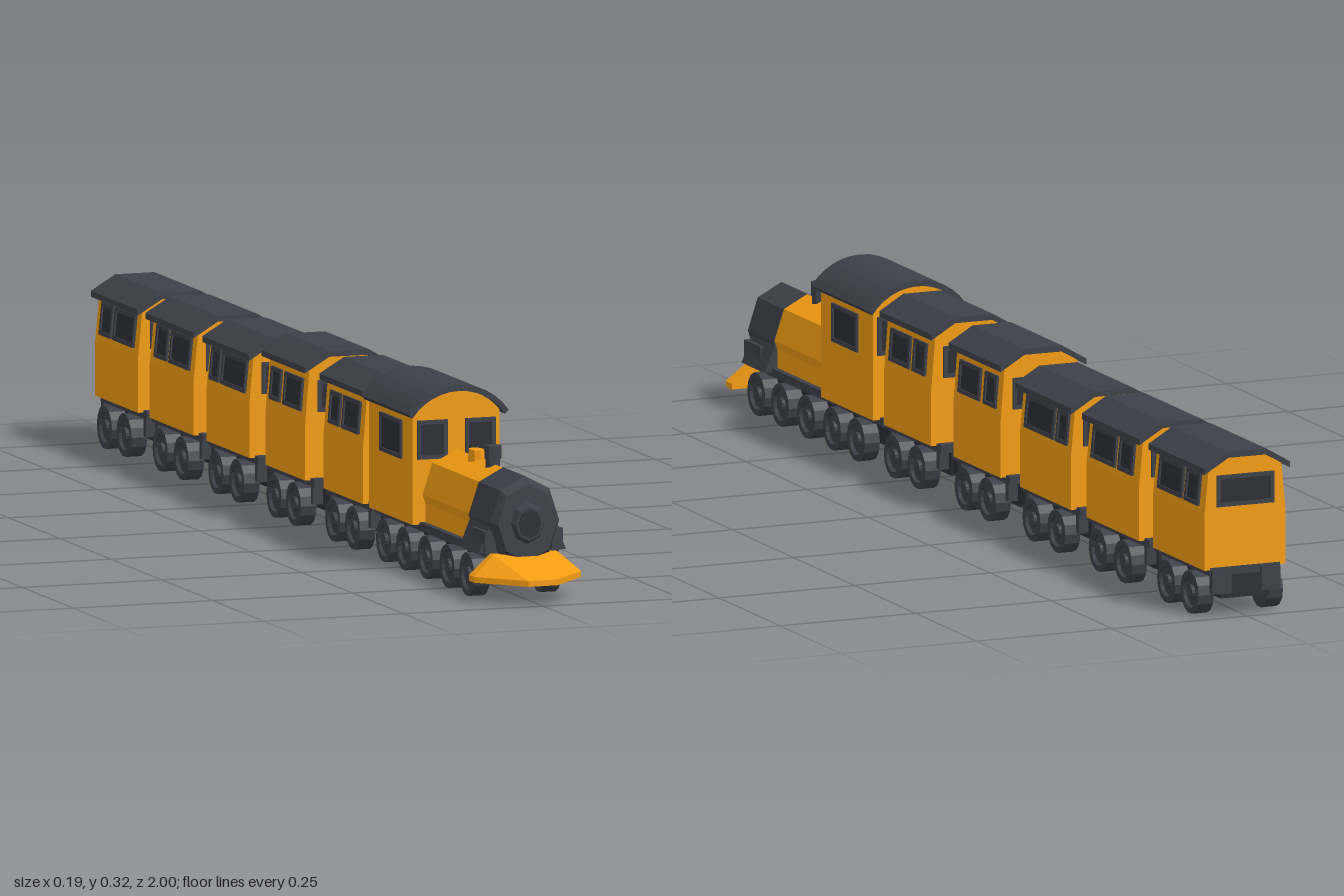
import * as THREE from 'three';
import { ConvexGeometry } from 'three/addons/geometries/ConvexGeometry.js';

const paint = (color) => new THREE.MeshStandardMaterial({ color, flatShading: true });
const ORANGE = paint(0xf39c12), DARK = paint(0x3d4049), BLACK = paint(0x2c2e35);

function add(parent, name, geometry, material, x = 0, y = 0, z = 0) {
  const mesh = new THREE.Mesh(geometry, material);
  mesh.name = name;
  mesh.position.set(x, y, z);
  parent.add(mesh);
  return mesh;
}

const box = (w, h, d) => new THREE.BoxGeometry(w, h, d);
const polygon = (pts) => new THREE.Shape(pts.map(([x, y]) => new THREE.Vector2(x, y)));

// Extrudes an x/y outline from z0 to z1
function prism(pts, z0, z1) {
  const g = new THREE.ExtrudeGeometry(polygon(pts), { depth: z1 - z0, bevelEnabled: false });
  return g.translate(0, 0, z0);
}

// Cylinder lying along z, first corner pointing up
function drum(rx, ry, depth, sides, frontScale = 1) {
  const g = new THREE.CylinderGeometry(frontScale, 1, depth, sides);
  return g.rotateX(Math.PI / 2).rotateZ(Math.PI).scale(rx, ry, 1);
}

// Framed window facing +z, turned to yaw and leaned back by tilt
function addWindow(parent, w, h, x, y, z, yaw = 0, tilt = 0) {
  const g = new THREE.Group();
  g.name = 'window';
  const b = 0.007, X = w / 2, Y = h / 2;
  const rect = (p, q) => [[-p, -q], [p, -q], [p, q], [-p, q]];
  const shape = polygon(rect(X, Y));
  shape.holes.push(polygon(rect(X - b, Y - b)));
  const frame = new THREE.ExtrudeGeometry(shape, { depth: 0.006, bevelEnabled: false });
  add(g, 'windowFrame', frame, DARK, 0, 0, -0.002);
  add(g, 'windowPane', box(w - b, h - b, 0.003), BLACK);
  g.position.set(x, y, z);
  g.rotation.set(tilt, yaw, 0, 'YXZ');
  parent.add(g);
}

// Pair of wheels with rims and an axle
function addWheelset(parent, z) {
  const g = new THREE.Group();
  g.name = 'wheelset';
  for (const s of [-1, 1]) {
    const profile = [[0, 0], [0.037, 0], [0.037, 0.028], [0.027, 0.028], [0.024, 0.023],
      [0.013, 0.023], [0.011, 0.028], [0, 0.028]].map(([r, h]) => new THREE.Vector2(r, h));
    const wheel = add(g, 'wheel', new THREE.LatheGeometry(profile, 14), DARK, s * 0.05, 0, 0);
    wheel.rotation.z = -s * Math.PI / 2;
  }
  add(g, 'axle', new THREE.CylinderGeometry(0.008, 0.008, 0.11, 8).rotateZ(Math.PI / 2), BLACK);
  g.position.set(0, 0.037, z);
  parent.add(g);
}

// Underframe with a narrow part between the wheels and a wider deck on top
function addChassis(parent, z0, z1, wheels) {
  const mid = (z0 + z1) / 2, len = z1 - z0;
  add(parent, 'underframe', box(0.09, 0.04, len), BLACK, 0, 0.053, mid);
  add(parent, 'deck', box(0.13, 0.014, len), DARK, 0, 0.08, mid);
  wheels.forEach((z) => addWheelset(parent, z));
}

// Passenger carriage between zBack and zFront
function makeCarriage(name, zBack, zFront, eave, wheels, windows, windowY) {
  const car = new THREE.Group();
  car.name = name;
  const belt = 0.175, wide = 0.075, narrow = 0.067, ridge = eave + 0.018;
  const tilt = -Math.atan((wide - narrow) / (eave - belt));

  addChassis(car, Math.max(zBack - 0.018, -0.99), zFront + 0.018, wheels);
  for (const s of [-1, 1]) {
    for (const z of [zBack, zFront]) {
      add(car, 'bufferBeam', box(0.035, 0.04, 0.012), DARK, s * 0.045, 0.062, z);
    }
  }
  // Body leans inwards above the belt line
  add(car, 'body', prism([[-wide, 0.083], [wide, 0.083], [wide, belt], [narrow, eave],
    [0.033, ridge], [-0.033, ridge], [-narrow, eave], [-wide, belt]], zBack, zFront), ORANGE);

  // Roof slab bent over three planes
  const roof = [[-0.079, eave - 0.008], [-0.035, ridge], [0.035, ridge], [0.079, eave - 0.008],
    [0.079, eave + 0.002], [0.035, ridge + 0.01], [-0.035, ridge + 0.01], [-0.079, eave + 0.002]];
  add(car, 'roof', prism(roof, zBack - 0.01, zFront + 0.01), DARK);

  const sideX = wide - (wide - narrow) * (windowY - belt) / (eave - belt);
  for (const s of [-1, 1]) {
    for (const [a, b] of windows) {
      addWindow(car, a - b, 0.056, s * sideX, windowY, (a + b) / 2, s * Math.PI / 2, tilt);
    }
  }
  addWindow(car, 0.106, 0.054, 0, windowY, zFront);
  addWindow(car, 0.106, 0.054, 0, windowY, zBack, Math.PI);
  return car;
}

function makeLocomotive() {
  const loco = new THREE.Group();
  loco.name = 'locomotive';
  addChassis(loco, 0.35, 0.9, [0.84, 0.743, 0.636, 0.53, 0.432]);

  // Boiler, smokebox and front door
  add(loco, 'boiler', drum(0.06, 0.075, 0.24, 8), ORANGE, 0, 0.134, 0.69);
  add(loco, 'boilerSkirt', box(0.11, 0.05, 0.235), ORANGE, 0, 0.108, 0.6925);
  add(loco, 'smokebox', drum(0.062, 0.078, 0.105, 8), DARK, 0, 0.132, 0.8575);
  add(loco, 'smokeboxRim', drum(0.062, 0.078, 0.015, 8, 0.85), DARK, 0, 0.132, 0.9175);
  add(loco, 'smokeboxDoor', drum(0.031, 0.037, 0.012, 8, 0.8), DARK, 0, 0.132, 0.929);
  add(loco, 'doorCap', drum(0.02, 0.025, 0.006, 8), BLACK, 0, 0.132, 0.934);
  add(loco, 'saddle', prism([[-0.078, 0.08], [0.078, 0.08], [0.06, 0.125], [-0.06, 0.125]], 0.805, 0.9), DARK);
  for (const s of [-1, 1]) {
    add(loco, 'steamChest', box(0.02, 0.035, 0.065), DARK, s * 0.06, 0.1, 0.875);
  }
  // Chimney and dome
  add(loco, 'chimney', new THREE.CylinderGeometry(0.013, 0.013, 0.045, 8), DARK, 0, 0.213, 0.755);
  add(loco, 'chimneyCap', new THREE.CylinderGeometry(0.015, 0.015, 0.022, 8), DARK, 0, 0.229, 0.755);
  add(loco, 'dome', new THREE.CylinderGeometry(0.012, 0.015, 0.025, 8).scale(1, 1, 1.6), ORANGE, 0, 0.21, 0.675);

  // Cowcatcher, a wedge with a low lip
  const corners = [];
  for (const s of [-1, 1]) {
    for (const y of [0.035, 0.045]) {
      corners.push([s * 0.096, y, 0.9], [s * 0.096, y, 0.925], [s * 0.026, y, 1]);
    }
    corners.push([s * 0.058, 0.079, 0.9], [s * 0.058, 0.079, 0.915]);
  }
  add(loco, 'cowcatcher', new ConvexGeometry(corners.map((c) => new THREE.Vector3(...c))), ORANGE);

  // Cab under an arched roof
  const arch = (half, side, top) => Array.from({ length: 13 }, (_, i) => {
    const angle = (i / 6 - 1) * 0.98;
    return [half * Math.sin(angle) / Math.sin(0.98),
      side + (top - side) * (Math.cos(angle) - Math.cos(0.98)) / (1 - Math.cos(0.98))];
  });
  const wall = arch(0.078, 0.272, 0.31).reverse();
  add(loco, 'cab', prism([[-0.078, 0.083], [0.078, 0.083], ...wall], 0.362, 0.574), ORANGE);
  const roof = [...arch(0.083, 0.266, 0.309), ...arch(0.089, 0.273, 0.319).reverse()];
  add(loco, 'cabRoof', prism(roof, 0.353, 0.588), DARK);
  for (const s of [-1, 1]) {
    addWindow(loco, 0.054, 0.066, s * 0.043, 0.227, 0.574);
    addWindow(loco, 0.054, 0.066, s * 0.043, 0.227, 0.362, Math.PI);
    addWindow(loco, 0.105, 0.066, s * 0.078, 0.222, 0.473, s * Math.PI / 2);
  }
  return loco;
}

export function createModel() {
  const train = new THREE.Group();
  train.name = 'train';
  train.add(makeLocomotive());

  // zBack, zFront, eave height, wheel positions, side windows, window height
  const cars = [
    [0.13, 0.323, 0.275, [0.28, 0.183], [[0.302, 0.22], [0.207, 0.155]], 0.226],
    [-0.154, 0.039, 0.275, [-0.01, -0.105], [[0.019, -0.068], [-0.085, -0.135]], 0.226],
    [-0.443, -0.234, 0.258, [-0.288, -0.39], [[-0.254, -0.372], [-0.382, -0.428]], 0.218],
    [-0.722, -0.507, 0.258, [-0.56, -0.663], [[-0.527, -0.625], [-0.637, -0.697]], 0.218],
    [-0.99, -0.78, 0.258, [-0.84, -0.936], [[-0.8, -0.9], [-0.91, -0.967]], 0.218],
  ];
  let ahead = 0.355;
  cars.forEach((car, i) => {
    train.add(makeCarriage(`carriage${i + 1}`, ...car));
    // Twin coupling bars to the vehicle ahead
    const gap = ahead - car[1];
    for (const s of [-1, 1]) {
      add(train, 'coupling', box(0.016, 0.022, gap + 0.01), BLACK, s * 0.036, 0.05, car[1] + gap / 2);
    }
    ahead = car[0];
  });
  return train;
}
